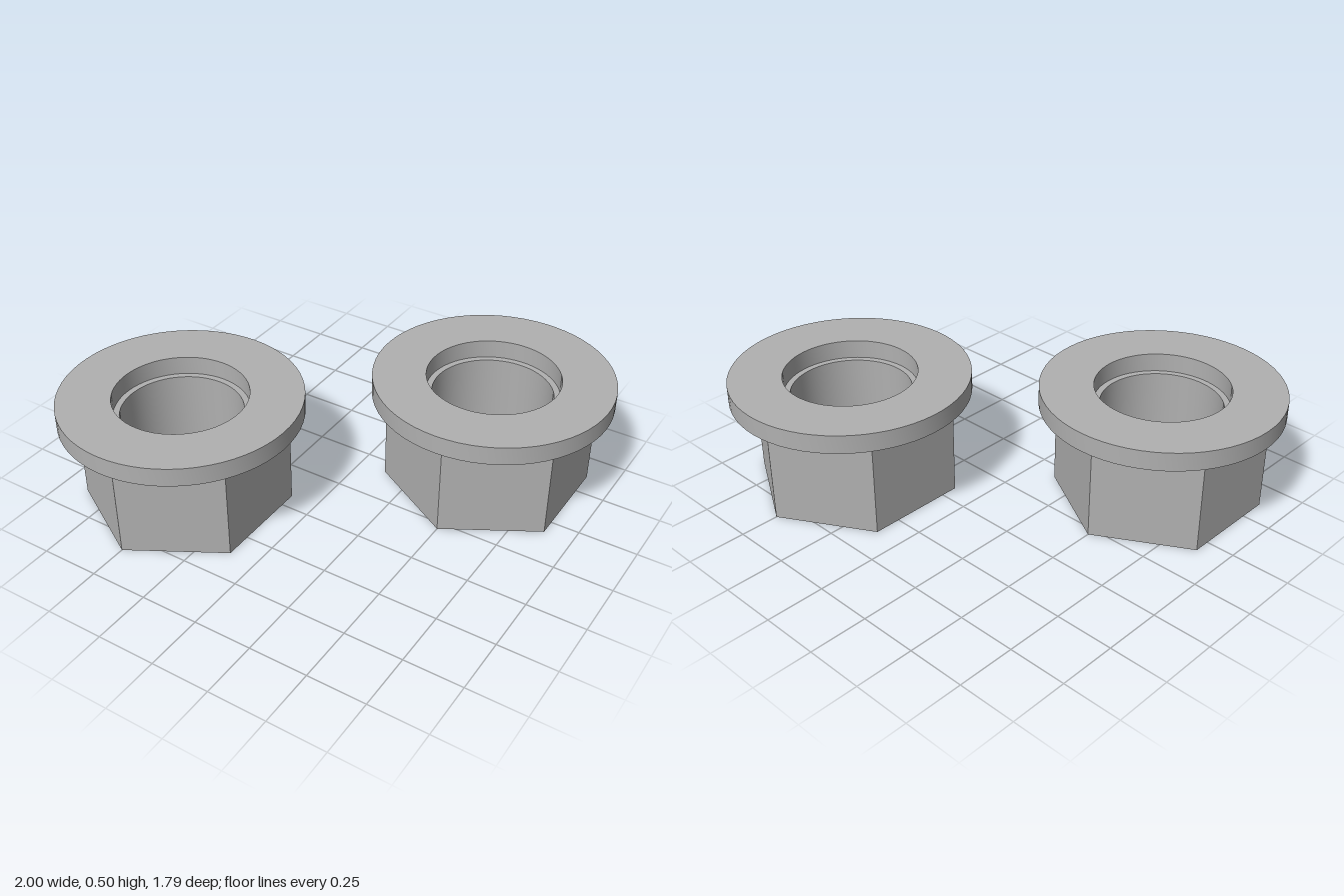
import * as THREE from 'three';
import { toCreasedNormals } from 'three/addons/utils/BufferGeometryUtils.js';

const BODY_TOP = 0.425, FLANGE_TOP = 0.505;
const FLANGE_RADIUS = 0.5, HEX_RADIUS = 0.436;
const BORE_RADIUS = 0.252, FLANGE_BORE_RADIUS = 0.278;

const circle = (PathType, radius) => new PathType().absarc(0, 0, radius, 0, Math.PI * 2, false);

// Hexagon with corners pointing to the front and back
function hexagon(radius) {
  const points = [];
  for (let i = 0; i < 6; i++) {
    const a = Math.PI / 2 + (i * Math.PI) / 3;
    points.push(new THREE.Vector2(radius * Math.cos(a), radius * Math.sin(a)));
  }
  return new THREE.Shape(points);
}

// Upright plate with a round hole, from height y0 to y1
function boredPlate(shape, holeRadius, y0, y1) {
  shape.holes.push(circle(THREE.Path, holeRadius));
  const geometry = new THREE.ExtrudeGeometry(shape, { depth: y1 - y0, bevelEnabled: false, curveSegments: 32 });
  geometry.rotateX(-Math.PI / 2).translate(0, y0, 0);
  return toCreasedNormals(geometry, 0.5);
}

export function createModel() {
  const steel = new THREE.MeshStandardMaterial({ name: 'grey steel', color: 0xb0b0b0 });
  const bodyGeometry = boredPlate(hexagon(HEX_RADIUS), BORE_RADIUS, 0, BODY_TOP);
  const flangeGeometry = boredPlate(circle(THREE.Shape, FLANGE_RADIUS), FLANGE_BORE_RADIUS, BODY_TOP, FLANGE_TOP);

  const model = new THREE.Group();
  model.name = 'flangeNuts';

  // Two identical nuts set diagonally
  for (const side of [1, -1]) {
    const nut = new THREE.Group();
    nut.name = side > 0 ? 'leftNut' : 'rightNut';
    const body = new THREE.Mesh(bodyGeometry, steel);
    body.name = 'hexBody';
    const flange = new THREE.Mesh(flangeGeometry, steel);
    flange.name = 'flange';
    nut.add(body, flange);
    nut.position.set(side * 0.5, 0, side * -0.397);
    model.add(nut);
  }
  return model;
}
